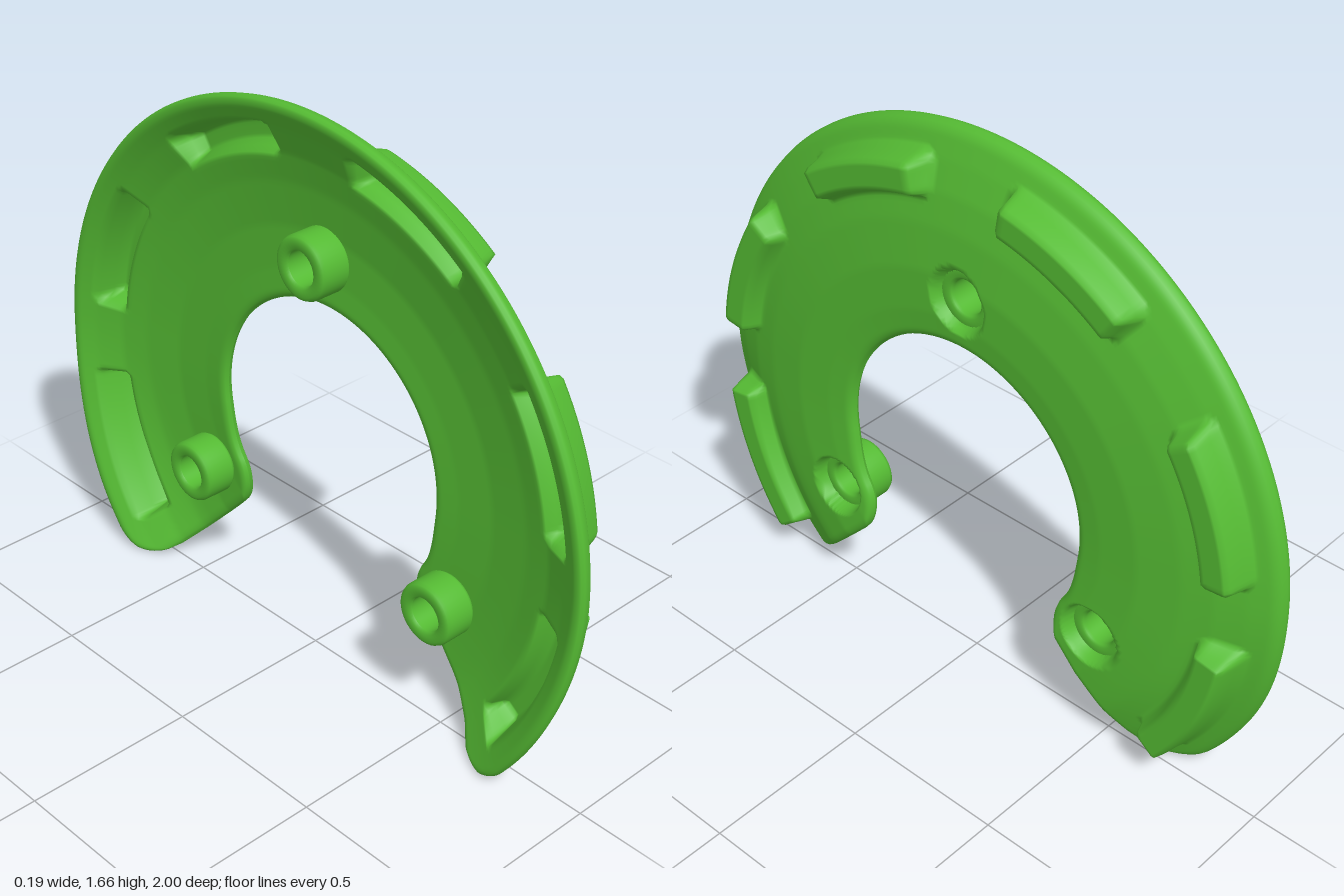
import * as THREE from 'three';

const CY = 0.66;                              // height of the horseshoe's centre
const END = THREE.MathUtils.degToRad(136);    // half sweep, measured from the top
const NT = 400, NR = 60;                      // steps along the sweep and across the band
const BOSSES = [[0, 1.22], [0.478, 0.378], [-0.478, 0.378]];         // z, y
const PADS = [[8.5, 37], [55, 84], [97, 129]].map(p => p.map(THREE.MathUtils.degToRad));
const step = THREE.MathUtils.smoothstep;

// Height of the outer face and of the hollow side against radius
const FRONT = [[0.4, 0.07], [0.5, 0.078], [0.62, 0.078], [0.75, 0.062], [0.84, 0.042], [0.92, 0.014], [1, -0.02]];
const BACK = [[0.4, 0.03], [0.5, 0.036], [0.62, 0.036], [0.75, 0.02], [0.84, 0], [0.92, -0.035], [0.97, -0.062], [1, -0.07]];

function lookup(table, r) {
  let k = 1;
  while (k < table.length - 1 && r > table[k][0]) k++;
  const [r0, x0] = table[k - 1], [r1, x1] = table[k];
  return x0 + (x1 - x0) * THREE.MathUtils.clamp((r - r0) / (r1 - r0), 0, 1);
}

// How far a quarter-round of radius R falls short at distance s from the edge
const fillet = (s, R) => (s >= R ? 0 : R - Math.sqrt(Math.max(0, R * R - (R - s) ** 2)));

// Distance inside the nearest raised pad (negative outside), corners rounded
function padDepth(t, r) {
  let best = -1;
  for (const [a, b] of PADS) {
    const c = 0.03;
    const dx = Math.abs(t - (a + b) / 2) * r - (b - a) / 2 * r + c;
    const dy = Math.abs(r - 0.878) - 0.06 + c;
    const d = Math.hypot(Math.max(dx, 0), Math.max(dy, 0)) + Math.min(Math.max(dx, dy), 0) - c;
    best = Math.max(best, -d);
  }
  return best;
}

const bossDistance = (z, y) => Math.min(...BOSSES.map(([bz, by]) => Math.hypot(z - bz, y - by)));

// Thickness positions [front x, back x] of the shell at one point
function shell(t, r, rIn, rOut) {
  const a = Math.abs(t), z = r * Math.sin(t), y = CY + r * Math.cos(t);
  const rim = step(r, 0.7, 1);
  const low = 1 - step(y, 0.1, 0.7);
  const shift = low * (0.012 * (1 - rim) - 0.03 * rim);
  let f = lookup(FRONT, r) + shift, b = lookup(BACK, r) + shift;
  const d = padDepth(a, r);
  f += (0.097 - f) * step(d, -0.004, 0.022);
  b += (0.06 - b) * step(d, 0.008, 0.036);
  f += (0.04 - f) * (1 - step(bossDistance(z, y), 0.078, 0.095));
  const e = Math.min(r - rIn, rOut - r, (END - a) * r);
  return [f - 0.8 * fillet(e, 0.028), b + 0.65 * fillet(e, 0.028)];
}

// Horseshoe shell: outer face, hollow face and the edge joining them
function bandGeometry() {
  const front = [], back = [], index = [];
  const ease = t => 0.5 * t + 0.5 * Math.sin(t * Math.PI / 2);
  for (let i = 0; i <= NT; i++) {
    const t = END * ease(2 * i / NT - 1);
    const left = Math.max(0, END - Math.abs(t));
    const rOut = 1 - fillet(left * 0.93, 0.14);
    const rIn = 0.415 + 0.015 * step(Math.abs(t), 1.7, 2.1) + fillet(left * 0.5, 0.12);
    for (let j = 0; j <= NR; j++) {
      const r = rIn + (rOut - rIn) * (0.5 + 0.5 * ease(2 * j / NR - 1));
      const [f, b] = shell(t, r, rIn, rOut);
      const z = r * Math.sin(t), y = CY + r * Math.cos(t);
      front.push(f, y, z);
      back.push(b, y, z);
    }
  }
  const N = (NT + 1) * (NR + 1);
  const id = (i, j) => i * (NR + 1) + j;
  const quad = (a, b, c, d) => index.push(a, b, c, a, c, d);
  for (let i = 0; i < NT; i++) {
    for (let j = 0; j < NR; j++) {
      const a = id(i, j), b = id(i, j + 1), c = id(i + 1, j + 1), d = id(i + 1, j);
      const z = (front[a * 3 + 2] + front[c * 3 + 2]) / 2, y = (front[a * 3 + 1] + front[c * 3 + 1]) / 2;
      if (bossDistance(z, y) < 0.065) continue;            // opening for a boss
      quad(a, b, c, d);
      quad(N + a, N + d, N + c, N + b);
    }
    const o = id(i, NR), o2 = id(i + 1, NR), n = id(i, 0), n2 = id(i + 1, 0);
    quad(o, N + o, N + o2, o2);
    quad(n, n2, N + n2, N + n);
  }
  for (let j = 0; j < NR; j++) {
    const a = id(NT, j), b = id(NT, j + 1), c = id(0, j), d = id(0, j + 1);
    quad(a, b, N + b, N + a);
    quad(c, N + c, N + d, d);
  }
  const g = new THREE.BufferGeometry();
  g.setAttribute('position', new THREE.Float32BufferAttribute(front.concat(back), 3));
  g.setIndex(index);
  g.computeVertexNormals();
  return g;
}

// Ring with a through hole, sunk in front and standing proud behind
function bossGeometry() {
  const profile = [
    [0.05, -0.05], [0.056, -0.06], [0.078, -0.06], [0.088, -0.055], [0.092, -0.045], [0.092, 0.03],
    [0.086, 0.04], [0.08, 0.046], [0.06, 0.044], [0.053, 0.04], [0.05, 0.032], [0.05, -0.05],
  ].map(([r, y]) => new THREE.Vector2(r, y));
  return new THREE.LatheGeometry(profile, 40).rotateZ(-Math.PI / 2);
}

export function createModel() {
  const model = new THREE.Group();
  model.name = 'horseshoePlate';
  const green = new THREE.MeshStandardMaterial({ color: 0x55bb33 });

  const band = new THREE.Mesh(bandGeometry(), green);
  band.name = 'paddedShell';
  model.add(band);

  const ring = bossGeometry();
  BOSSES.forEach(([z, y], k) => {
    const boss = new THREE.Mesh(ring, green);
    boss.name = ['topScrewBoss', 'frontScrewBoss', 'backScrewBoss'][k];
    boss.position.set(0, y, z);
    model.add(boss);
  });
  return model;
}
